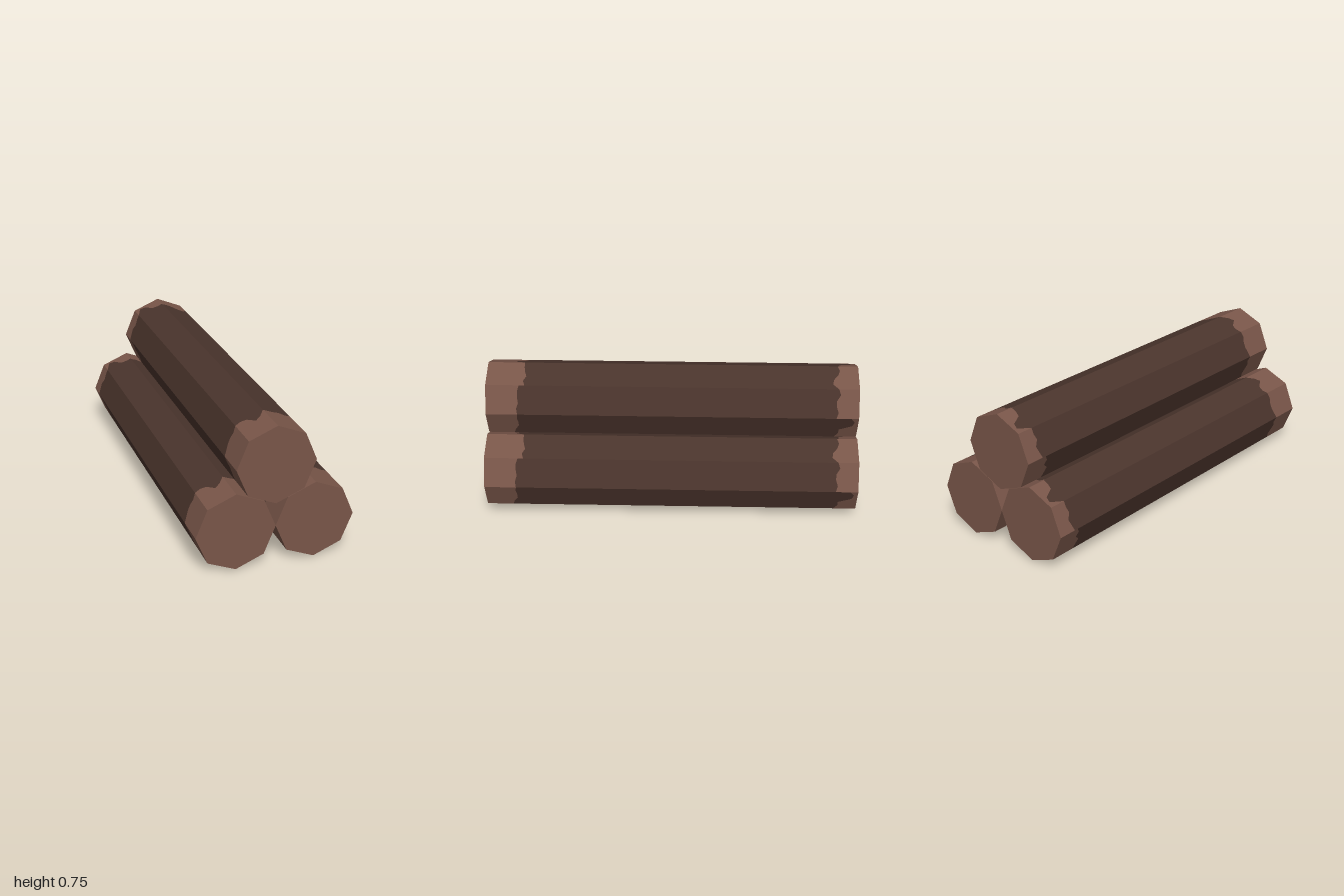
import * as THREE from 'three';

const RADIUS = 0.207;
const SIDES = 8;

// Depth of bare wood at each log end, sampled across each of the eight faces
const FRONT_EDGE = [
  [0.17, 0.165, 0.175, 0.17, 0.17, 0.18],
  [0.21, 0.20, 0.215, 0.205, 0.20, 0.20],
  [0.20, 0.16, 0.14, 0.19, 0.20, 0.19],
  [0.19, 0.18, 0.19, 0.19, 0.18, 0.17],
  [0.17, 0.18, 0.16, 0.17, 0.18, 0.17],
  [0.17, 0.15, 0.12, 0.10, 0.05, 0.02],
  [0.02, 0.06, 0.12, 0.13, 0.14, 0.13],
  [0.14, 0.15, 0.17, 0.17, 0.165, 0.17],
];
const BACK_EDGE = [
  [0.12, 0.11, 0.12, 0.12, 0.10, 0.11],
  [0.11, 0.14, 0.135, 0.11, 0.10, 0.11],
  [0.10, 0.10, 0.09, 0.03, 0.02, 0.09],
  [0.09, 0.09, 0.10, 0.08, 0.09, 0.10],
  [0.12, 0.14, 0.13, 0.16, 0.15, 0.14],
  [0.13, 0.12, 0.14, 0.12, 0.11, 0.12],
  [0.12, 0.13, 0.12, 0.11, 0.12, 0.12],
  [0.12, 0.10, 0.10, 0.03, 0.02, 0.04],
];

// Flat octagonal sleeve between two ragged outlines; each gives z from (face, sample)
function sleeve(zBack, zFront) {
  const points = [];
  const samples = FRONT_EDGE[0].length;
  const corner = (k) => {
    const a = (k / SIDES) * Math.PI * 2;
    return new THREE.Vector2(Math.cos(a) * RADIUS, Math.sin(a) * RADIUS);
  };
  for (let f = 0; f < SIDES; f++) {
    for (let s = 0; s < samples - 1; s++) {
      const p = corner(f).lerp(corner(f + 1), s / (samples - 1));
      const q = corner(f).lerp(corner(f + 1), (s + 1) / (samples - 1));
      const pb = [p.x, p.y, zBack(f, s)], pf = [p.x, p.y, zFront(f, s)];
      const qb = [q.x, q.y, zBack(f, s + 1)], qf = [q.x, q.y, zFront(f, s + 1)];
      points.push(...pb, ...qf, ...pf, ...pb, ...qb, ...qf);
    }
  }
  const geometry = new THREE.BufferGeometry();
  geometry.setAttribute('position', new THREE.Float32BufferAttribute(points, 3));
  geometry.computeVertexNormals();
  return geometry;
}

export function createModel() {
  const bark = new THREE.MeshStandardMaterial({ color: 0x4a342c });
  bark.name = 'dark bark';
  const wood = new THREE.MeshStandardMaterial({ color: 0x795649 });
  wood.name = 'bare wood';

  const frontZ = (f, s) => 1 - FRONT_EDGE[f][s];
  const backZ = (f, s) => -1 + BACK_EDGE[f][s];
  const cap = new THREE.CircleGeometry(RADIUS, SIDES);
  const parts = [
    ['bark', sleeve(backZ, frontZ), bark],
    ['frontBareWood', sleeve(frontZ, () => 1), wood],
    ['backBareWood', sleeve(() => -1, backZ), wood],
    ['frontCutEnd', cap.clone().translate(0, 0, 1), wood],
    ['backCutEnd', cap.clone().rotateY(Math.PI).translate(0, 0, -1), wood],
  ];

  // Two logs on the ground, one stacked on top
  const model = new THREE.Group();
  model.name = 'logPile';
  const places = [
    ['rightLog', -RADIUS, RADIUS],
    ['leftLog', RADIUS, RADIUS],
    ['topLog', 0, 0.538],
  ];
  for (const [name, x, y] of places) {
    const log = new THREE.Group();
    log.name = name;
    log.position.set(x, y, 0);
    for (const [partName, geometry, material] of parts) {
      const mesh = new THREE.Mesh(geometry, material);
      mesh.name = partName;
      log.add(mesh);
    }
    model.add(log);
  }
  return model;
}
